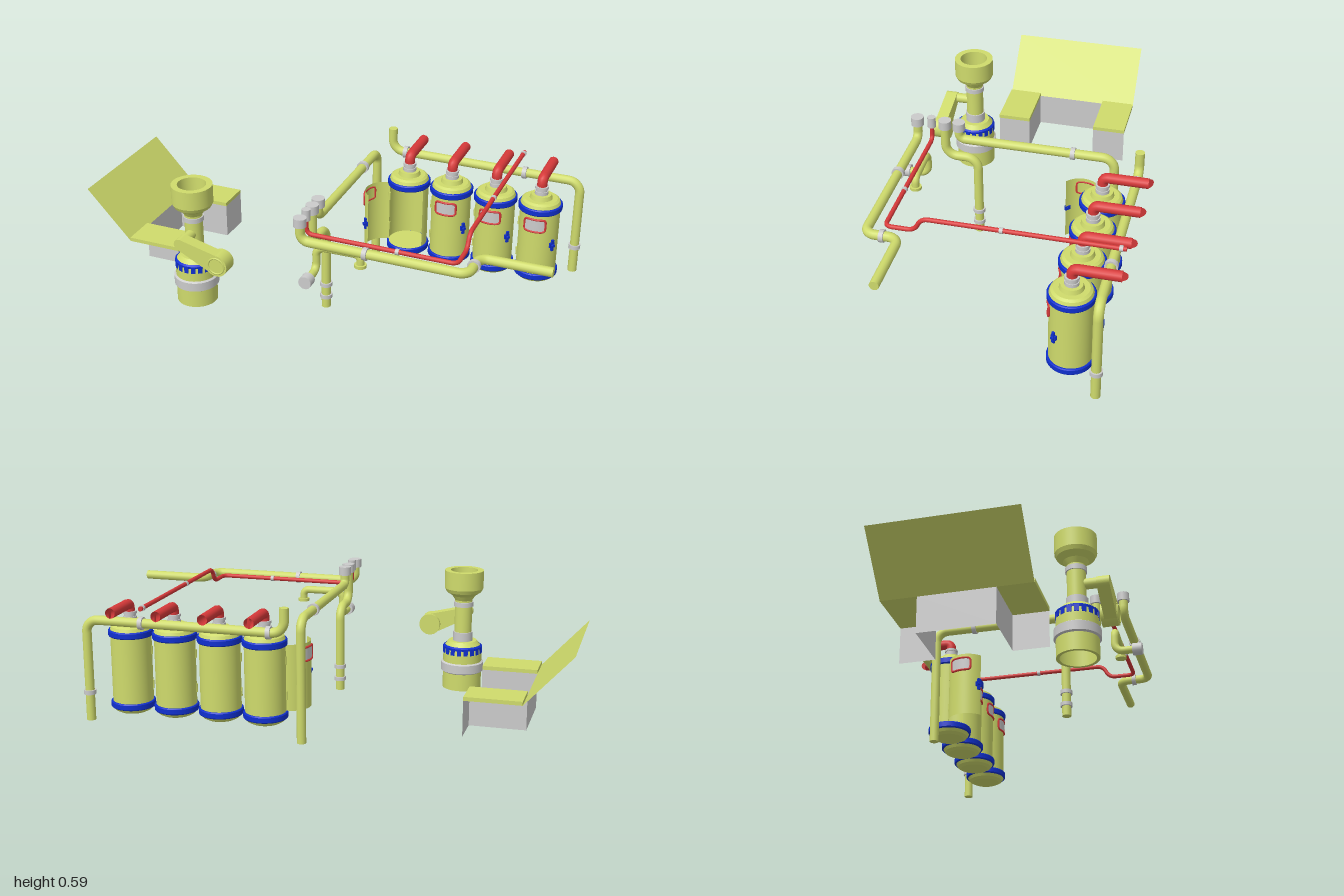
import * as THREE from 'three';

const mat = (color) => new THREE.MeshStandardMaterial({ color, side: THREE.DoubleSide });
const lime = mat(0xcfdb6c), red = mat(0xd83a3a), blue = mat(0x1030d0);
const grey = mat(0xcccccc);
const V = (p) => new THREE.Vector3(...p);

function add(parent, name, geo, material, pos = [0, 0, 0]) {
  const m = new THREE.Mesh(geo, material);
  m.name = name;
  m.position.set(...pos);
  parent.add(m);
  return m;
}

// Lathe with crisp edges: every straight run of the profile is its own band
function lathe(parent, name, profile, material, pos, seg = 36) {
  const g = new THREE.Group();
  g.name = name;
  g.position.set(...pos);
  parent.add(g);
  for (let i = 0; i < profile.length - 1; i++) {
    const pts = [profile[i], profile[i + 1]].map((p) => new THREE.Vector2(...p));
    add(g, name + 'Band', new THREE.LatheGeometry(pts, seg), material);
  }
  return g;
}

// Cylinder whose axis runs along x, y or z
function rod(parent, name, r, len, axis, pos, material, seg = 20) {
  const geo = new THREE.CylinderGeometry(r, r, len, seg);
  if (axis === 'x') geo.rotateZ(Math.PI / 2);
  if (axis === 'z') geo.rotateX(Math.PI / 2);
  return add(parent, name, geo, material, pos);
}

// Round pipe through corner points, with filleted bends and closed ends
function pipe(parent, name, points, r, bend, material) {
  const pts = points.map(V), path = new THREE.CurvePath();
  let last = pts[0];
  for (let i = 1; i < pts.length - 1; i++) {
    const reach = (q) => Math.min(bend, pts[i].distanceTo(q) * 0.49);
    const b = Math.min(reach(pts[i - 1]), reach(pts[i + 1]));
    const toward = (q) => pts[i].clone().add(q.clone().sub(pts[i]).setLength(b));
    const a = toward(pts[i - 1]), c = toward(pts[i + 1]);
    const ca = pts[i].clone().lerp(a, 0.45), cc = pts[i].clone().lerp(c, 0.45);
    path.add(new THREE.LineCurve3(last, a));
    path.add(new THREE.CubicBezierCurve3(a, ca, cc, c));
    last = c;
  }
  path.add(new THREE.LineCurve3(last, pts.at(-1)));
  const n = Math.ceil(path.getLength() / 0.009);
  add(parent, name, new THREE.TubeGeometry(path, n, r, 14), material);
  for (const [p, q] of [[pts[0], pts[1]], [pts.at(-1), pts.at(-2)]]) {
    const cap = add(parent, name + 'End', new THREE.CircleGeometry(r, 14), material, p.toArray());
    cap.lookAt(p.clone().multiplyScalar(2).sub(q));
  }
}

// Upright curved sheet, angles measured from +z toward +x
const sheet = (r, y0, y1, a0, a1) =>
  new THREE.CylinderGeometry(r, r, y1 - y0, 28, 1, true, a0, a1 - a0).translate(0, (y0 + y1) / 2, 0);

const R = 0.083, HINGE = -1.31, LATCH = 1.13;

function tank(x, swing) {
  const g = new THREE.Group();
  g.name = 'tank';
  g.position.set(x, 0, -0.342);
  lathe(g, 'tankBase', [[0, 0.07], [0.06, 0.07], [0.075, 0.078], [R, 0.09], [R, 0.115], [0, 0.115]], lime, [0, 0, 0]);
  lathe(g, 'tankTop', [[0, 0.39], [R, 0.39], [R, 0.417], [0.078, 0.43], [0.068, 0.437], [0.047, 0.437],
    [0.042, 0.455], [0, 0.455]], lime, [0, 0, 0]);
  add(g, 'tankShell', sheet(R, 0.115, 0.39, LATCH, HINGE + 2 * Math.PI), lime);
  for (const y of [0.09, 0.39]) {
    lathe(g, 'tankBand', [[R, y], [0.088, y], [0.091, y + 0.004], [0.091, y + 0.023], [0.088, y + 0.027], [R, y + 0.027]],
      blue, [0, 0, 0]);
  }
  // outlet
  rod(g, 'neckCollar', 0.028, 0.014, 'y', [0, 0.462, 0], grey);
  rod(g, 'neckCollar', 0.024, 0.012, 'y', [0, 0.474, 0], grey);
  rod(g, 'neckCollar', 0.028, 0.01, 'y', [0, 0.485, 0], grey);
  pipe(g, 'outletPipe', [[0, 0.48, 0], [0, 0.521, 0], [0, 0.521, -0.181]], 0.021, 0.04, red);

  // door, pivoting on its hinge edge
  const hx = R * Math.sin(HINGE), hz = R * Math.cos(HINGE);
  const pivot = new THREE.Group(), door = new THREE.Group();
  pivot.name = 'doorHinge';
  door.name = 'door';
  pivot.position.set(hx, 0, hz);
  pivot.rotation.y = swing;
  door.position.set(-hx, 0, -hz);
  pivot.add(door);
  g.add(pivot);
  add(door, 'doorPanel', sheet(R, 0.115, 0.39, HINGE, LATCH), lime);
  add(door, 'windowPane', sheet(R + 0.003, 0.318, 0.37, -0.52, 0.52), grey);
  // rounded window frame wrapped onto the door
  const frame = [];
  for (let i = 0; i < 48; i++) {
    const t = (i / 48) * 2 * Math.PI, c = Math.cos(t), s = Math.sin(t);
    const k = Math.pow(Math.abs(c) ** 6 + Math.abs(s) ** 6, -1 / 6);
    const a = 0.54 * c * k;
    frame.push(V([(R + 0.002) * Math.sin(a), 0.344 + 0.028 * s * k, (R + 0.002) * Math.cos(a)]));
  }
  add(door, 'windowFrame', new THREE.TubeGeometry(new THREE.CatmullRomCurve3(frame, true), 64, 0.005, 6, true), red);
  // latch
  const latch = new THREE.Group();
  latch.name = 'latch';
  latch.rotation.y = 0.98;
  door.add(latch);
  add(latch, 'latchBar', new THREE.BoxGeometry(0.012, 0.05, 0.008), blue, [0, 0.251, R + 0.006]);
  add(latch, 'latchCross', new THREE.BoxGeometry(0.024, 0.02, 0.008), blue, [0, 0.251, R + 0.003]);
  rod(latch, 'latchHub', 0.007, 0.02, 'z', [0, 0.251, R + 0.006], blue, 12);
  for (const y of [0.18, 0.325]) rod(g, 'hingeKnuckle', 0.005, 0.035, 'y', [hx, y, hz], lime, 10);
  return g;
}

function pipework() {
  const g = new THREE.Group();
  g.name = 'pipework';
  const x = 0.055, r = 0.019;
  pipe(g, 'mainPipe', [[x, 0.56, 0.46], [x, 0.487, 0.46], [0.72, 0.487, 0.46], [0.72, 0.487, 0.325], [1, 0.487, 0.325]], r, 0.04, lime);
  pipe(g, 'redLine', [[x, 0.56, 0.4], [x, 0.487, 0.4], [0.66, 0.487, 0.4], [0.66, 0.487, 0.285], [0.66, 0.545, 0.255],
    [0.66, 0.545, -0.515]], 0.009, 0.025, red);
  pipe(g, 'drainPipe', [[x, 0.56, 0.344], [x, 0.42, 0.344], [x, 0.42, 0.208], [x, 0.055, 0.208]], r, 0.05, lime);
  pipe(g, 'sidePipe', [[x, 0.56, 0.285], [x, 0.507, 0.285], [x, 0.507, -0.36], [x, 0, -0.36]], r, 0.05, lime);
  pipe(g, 'rearPipe', [[0.088, 0.577, -0.465], [0.088, 0.475, -0.465], [0.918, 0.475, -0.465], [0.918, 0.055, -0.465]], r, 0.05, lime);
  pipe(g, 'branchPipe', [[0.1, 0.345, 0.5], [0.1, 0.345, 0.41], [0.1, 0.445, 0.41], [0.28, 0.445, 0.405], [0.28, 0.395, 0.405]],
    0.016, 0.035, lime);
  // caps on the risers
  for (const z of [0.46, 0.344, 0.285]) rod(g, 'riserCap', 0.026, 0.036, 'y', [x, 0.568, z], grey);
  rod(g, 'riserCap', 0.017, 0.046, 'y', [x, 0.57, 0.4], grey);
  rod(g, 'branchFlange', 0.026, 0.04, 'z', [0.1, 0.345, 0.505], grey);
  rod(g, 'branchFoot', 0.024, 0.012, 'y', [0.28, 0.399, 0.405], lime);
  // collars: axis, radius, length, position
  const collars = [
    ['x', 0.025, 0.018, [0.32, 0.487, 0.46]], ['z', 0.025, 0.018, [0.72, 0.487, 0.39]],
    ['z', 0.025, 0.018, [x, 0.507, -0.19]], ['y', 0.025, 0.016, [x, 0.16, 0.208]],
    ['y', 0.025, 0.016, [x, 0.105, 0.208]], ['y', 0.025, 0.018, [0.918, 0.173, -0.465]],
    ['x', 0.026, 0.018, [0.68, 0.475, -0.465]], ['x', 0.026, 0.018, [0.15, 0.475, -0.465]],
    ['x', 0.012, 0.014, [0.425, 0.487, 0.4]], ['z', 0.012, 0.014, [0.66, 0.545, -0.05]],
    ['z', 0.012, 0.014, [0.66, 0.545, -0.495]],
  ];
  for (const [axis, cr, len, pos] of collars) rod(g, 'pipeCollar', cr, len, axis, pos, grey);
  return g;
}

function column() {
  const g = new THREE.Group();
  g.name = 'column';
  g.position.set(-0.455, 0, 0.364);
  lathe(g, 'columnBody', [[0.07, 0.065], [0.083, 0.065], [0.083, 0.22], [0.08, 0.25], [0.06, 0.275], [0.037, 0.275],
    [0.037, 0.455], [0.05, 0.475], [0.075, 0.492], [0.083, 0.508], [0.083, 0.585], [0.058, 0.585],
    [0.055, 0.51], [0, 0.49]], lime, [0, 0, 0]);
  lathe(g, 'baseRing', [[0.083, 0.138], [0.091, 0.143], [0.091, 0.18], [0.083, 0.185]], grey, [0, 0, 0]);
  for (const [y, h] of [[0.292, 0.044], [0.437, 0.02]]) rod(g, 'columnCollar', 0.042, h, 'y', [0, y, 0], grey, 32);
  // ribbed blue crown
  lathe(g, 'crown', [[0.082, 0.243], [0.083, 0.252], [0.076, 0.258]], blue, [0, 0, 0]);
  for (let i = 0; i < 18; i++) {
    const rib = new THREE.Group();
    rib.name = 'crownRib';
    rib.rotation.y = (i / 18) * 2 * Math.PI;
    g.add(rib);
    add(rib, 'rib', new THREE.BoxGeometry(0.018, 0.03, 0.008), blue, [0, 0.237, 0.08]);
  }
  // tapered arm with a drum at its outer end
  const dx = 0.16, dy = -0.06, ra = 0.024, rb = 0.044;
  const tilt = Math.atan2(dy, dx), lean = Math.acos((ra - rb) / Math.hypot(dx, dy));
  const s = new THREE.Shape();
  s.absarc(0, 0, ra, tilt + lean, tilt - lean + 2 * Math.PI, false);
  s.absarc(dx, dy, rb, tilt - lean, tilt + lean, false);
  add(g, 'arm', new THREE.ExtrudeGeometry(s, { depth: 0.05, bevelEnabled: false, curveSegments: 24 }), lime, [0.002, 0.375, 0.08]);
  rod(g, 'armPivot', 0.021, 0.07, 'z', [0.002, 0.375, 0.055], lime);
  rod(g, 'armDrum', 0.046, 0.065, 'z', [0.162, 0.315, 0.099], lime, 32);
  add(g, 'drumRing', new THREE.TorusGeometry(0.034, 0.004, 8, 32), lime, [0.162, 0.315, 0.131]);
  return g;
}

function desk() {
  const g = new THREE.Group();
  g.name = 'desk';
  // thin stepped wall following the inside of the U
  const path = [[-0.58, 0.285], [-0.58, 0.145], [-0.81, 0.145], [-0.81, -0.153], [-0.58, -0.153], [-0.58, -0.295]];
  for (let i = 0; i < path.length - 1; i++) {
    const [[x0, z0], [x1, z1]] = [path[i], path[i + 1]];
    const wall = add(g, 'deskWall', new THREE.PlaneGeometry(Math.hypot(x1 - x0, z1 - z0), 0.147), grey,
      [(x0 + x1) / 2, 0.1385, (z0 + z1) / 2]);
    wall.rotation.y = Math.atan2(-(z1 - z0), x1 - x0);
  }
  for (const z of [0.215, -0.224]) add(g, 'deskTop', new THREE.BoxGeometry(0.23, 0.016, 0.142), lime, [-0.695, 0.22, z]);
  // sloping back panel
  const panel = add(g, 'slopingPanel', new THREE.PlaneGeometry(Math.hypot(0.19, 0.208), 0.58).rotateX(-Math.PI / 2), lime,
    [-0.905, 0.316, -0.005]);
  panel.rotation.z = -Math.atan2(0.208, 0.19);
  return g;
}

export function createModel() {
  const model = new THREE.Group();
  model.name = 'pumpStation';
  [0.21, 0.4, 0.593, 0.785].forEach((x, i) => model.add(tank(x, i === 0 ? -1.75 : 0)));
  model.add(pipework(), column(), desk());
  return model;
}
